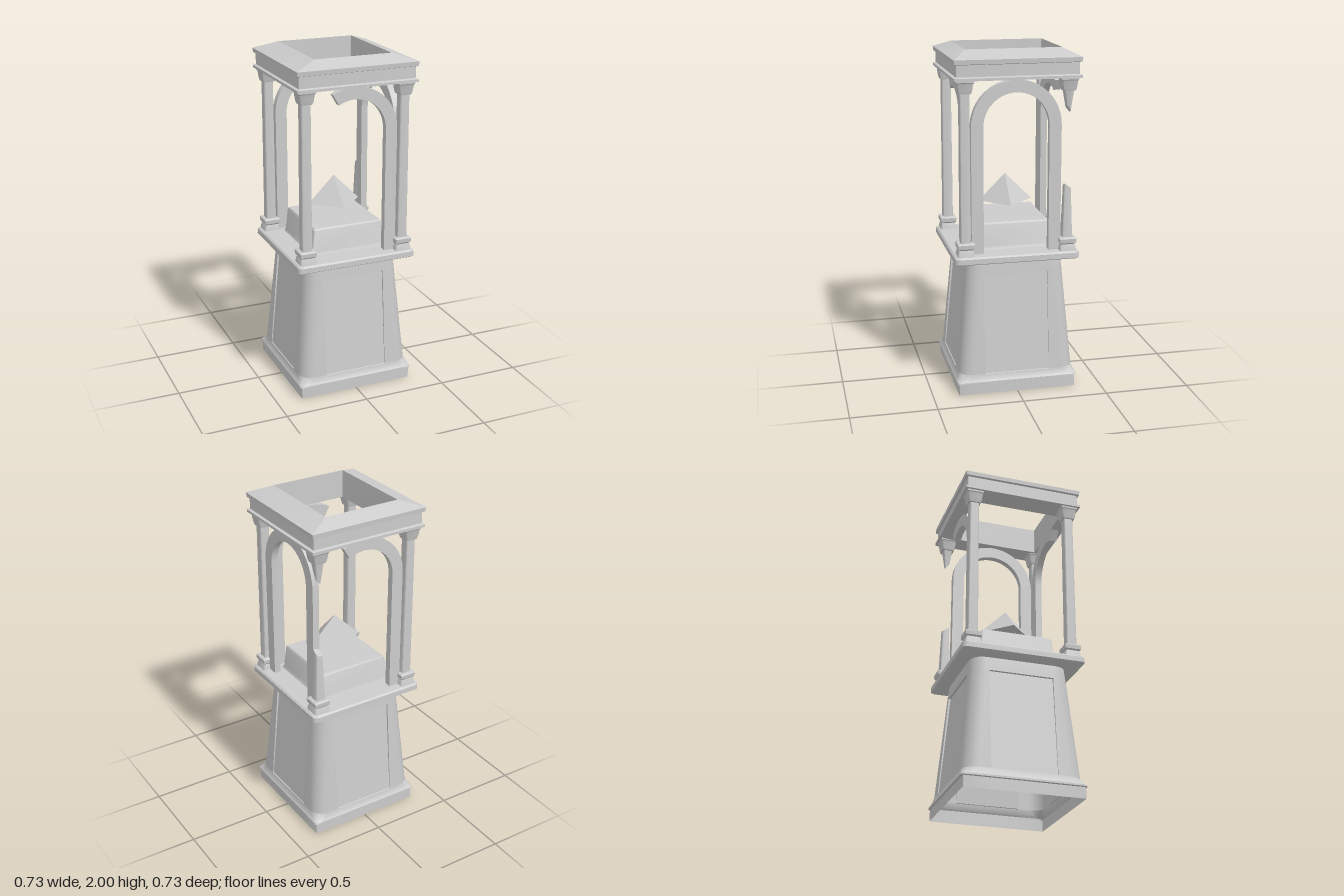
import * as THREE from 'three';
import { toCreasedNormals } from 'three/addons/utils/BufferGeometryUtils.js';

const material = new THREE.MeshStandardMaterial({ color: 0xcccccc, side: THREE.DoubleSide });

// One rounded-rectangle cross-section; an inset sinks the middle of each side by that depth.
function ringPoints({ y, hx, hz = hx, r = 0.004, inset = 0, panel = 0 }) {
  const points = [];
  const steps = 5;
  r = Math.min(r, hx, hz);
  for (let side = 0; side < 4; side++) {
    const turn = (side * Math.PI) / 2;
    const c = Math.round(Math.cos(turn)), s = Math.round(Math.sin(turn));
    if (panel > 0) {
      for (const [across, depth] of [[-panel, 0], [-panel, inset], [panel, inset], [panel, 0]]) {
        const out = hx - depth;
        points.push([out * c - across * s, y, -(out * s + across * c)]);
      }
    }
    const sx = c - s, sz = s + c;
    for (let k = 0; k <= steps; k++) {
      const a = turn + (k / steps) * (Math.PI / 2);
      points.push([sx * (hx - r) + r * Math.cos(a), y, -(sz * (hz - r) + r * Math.sin(a))]);
    }
  }
  return points;
}

// Skin through a list of cross-sections, from bottom to top.
function loft(rings, crease = 0.6) {
  const sections = rings.map(ringPoints);
  const n = sections[0].length;
  const index = [];
  for (let j = 0; j < sections.length - 1; j++) {
    for (let i = 0; i < n; i++) {
      const a = j * n + i, b = j * n + ((i + 1) % n);
      index.push(a, b, b + n, a, b + n, a + n);
    }
  }
  const geometry = new THREE.BufferGeometry();
  geometry.setAttribute('position', new THREE.Float32BufferAttribute(sections.flat(2), 3));
  geometry.setIndex(index);
  return toCreasedNormals(geometry, crease);
}

function addMesh(parent, name, geometry) {
  const mesh = new THREE.Mesh(geometry, material);
  mesh.name = name;
  parent.add(mesh);
  return mesh;
}

// Round arch on legs, standing in the xy plane; "end" is the angle where it breaks off.
function archGeometry(end) {
  const outer = 0.26, inner = 0.19, spring = 1.575, foot = 0.835;
  const shape = new THREE.Shape();
  shape.moveTo(inner, foot);
  shape.lineTo(outer, foot);
  shape.lineTo(outer, spring);
  shape.absarc(0, spring, outer, 0, end, false);
  if (end === Math.PI) {
    shape.lineTo(-outer, foot);
    shape.lineTo(-inner, foot);
  }
  shape.absarc(0, spring, inner, end, 0, true);
  shape.closePath();
  const geometry = new THREE.ExtrudeGeometry(shape, { depth: 0.04, bevelEnabled: false, curveSegments: 12 });
  geometry.translate(0, 0, 0.265);
  return toCreasedNormals(geometry, 0.6);
}

// Shaft piece whose broken end slants across z.
function brokenShaft(bottom, top, hwBottom, hwTop, slantBottom, slantTop) {
  const geometry = loft([
    { y: bottom, hx: 0 },
    { y: bottom, hx: hwBottom, r: 0.008 },
    { y: top, hx: hwTop, r: 0.008 },
    { y: top, hx: 0 },
  ]);
  const p = geometry.attributes.position;
  for (let i = 0; i < p.count; i++) {
    const slant = p.getY(i) > (bottom + top) / 2 ? slantTop : slantBottom;
    p.setY(i, p.getY(i) + slant * (p.getZ(i) + 0.5 * p.getX(i)));
  }
  return toCreasedNormals(geometry, 0.6);
}

function createColumn(broken) {
  const column = new THREE.Group();
  column.name = broken ? 'brokenColumn' : 'column';
  addMesh(column, 'columnBase', loft([
    { y: 0.835, hx: 0.05, r: 0.012 },
    { y: 0.86, hx: 0.047, r: 0.012 },
    { y: 0.88, hx: 0.041, r: 0.01 },
    { y: 0.888, hx: 0.048 },
    { y: 0.912, hx: 0.05 },
    { y: 0.918, hx: 0.044 },
    { y: 0.922, hx: 0 },
  ]));
  addMesh(column, 'capital', loft([
    { y: 1.765, hx: 0 },
    { y: 1.768, hx: 0.036, r: 0.01 },
    { y: 1.785, hx: 0.041, r: 0.01 },
    { y: 1.825, hx: 0.046, r: 0.008 },
    { y: 1.832, hx: 0.051 },
    { y: 1.845, hx: 0.051 },
  ]));
  if (broken) {
    addMesh(column, 'columnStump', brokenShaft(0.91, 1.215, 0.03, 0.02, 0, 0.7));
    addMesh(column, 'hangingShard', brokenShaft(1.665, 1.78, 0.014, 0.029, 1.2, 0));
  } else {
    addMesh(column, 'columnShaft', loft([
      { y: 0.91, hx: 0.03, r: 0.009 },
      { y: 1.78, hx: 0.028, r: 0.009 },
    ]));
  }
  return column;
}

export function createModel() {
  const model = new THREE.Group();
  model.name = 'ruinedShrineTower';

  // Tapered pedestal, open underneath, with a sunken panel on each side
  const panel = 0.19;
  addMesh(model, 'pedestal', loft([
    { y: 0, hx: 0.348, r: 0.006, panel },
    { y: 0.065, hx: 0.348, r: 0.006, panel },
    { y: 0.068, hx: 0.358, r: 0.02, panel },
    { y: 0.078, hx: 0.358, r: 0.03, panel },
    { y: 0.09, hx: 0.349, r: 0.05, panel },
    { y: 0.12, hx: 0.342, r: 0.08, panel },
    { y: 0.122, hx: 0.342, r: 0.08, panel, inset: 0.005 },
    { y: 0.708, hx: 0.292, r: 0.08, panel, inset: 0.012 },
    { y: 0.71, hx: 0.292, r: 0.08, panel },
    { y: 0.795, hx: 0.284, r: 0.08, panel },
  ]));

  // Projecting ledge
  addMesh(model, 'ledge', loft([
    { y: 0.79, hx: 0.28, r: 0.06 },
    { y: 0.797, hx: 0.355, r: 0.02 },
    { y: 0.803, hx: 0.364, r: 0.025 },
    { y: 0.833, hx: 0.364, r: 0.03 },
    { y: 0.842, hx: 0.355, r: 0.035 },
    { y: 0.848, hx: 0.22, r: 0.02 },
  ]));

  // Altar block standing on the ledge
  addMesh(model, 'altarBlock', loft([
    { y: 0.84, hx: 0.238, r: 0.02 },
    { y: 0.862, hx: 0.226, r: 0.015 },
    { y: 0.99, hx: 0.214, r: 0.01 },
    { y: 1.0, hx: 0.207, r: 0.008 },
    { y: 1.0, hx: 0 },
  ]));

  // Floating pyramid
  const pyramid = new THREE.ConeGeometry(0.16, 0.16, 4).toNonIndexed();
  pyramid.computeVertexNormals();
  addMesh(model, 'floatingPyramid', pyramid).position.y = 1.16;

  // Corner columns; the one at the back on the +x side is broken
  for (const sx of [-1, 1]) {
    for (const sz of [-1, 1]) {
      const column = createColumn(sx === 1 && sz === -1);
      column.position.set(sx * 0.297, 0, sz * 0.297);
      model.add(column);
    }
  }

  // Arches: whole on the +x side, half fallen at front and back, gone on the -x side
  addMesh(model, 'frontBrokenArch', archGeometry(2.1));
  addMesh(model, 'backBrokenArch', archGeometry(2.1)).rotation.y = Math.PI;
  addMesh(model, 'sideArch', archGeometry(Math.PI)).rotation.y = Math.PI / 2;

  // Entablature and sloping roof around an open shaft
  const hole = { hx: 0.23, hz: 0.276 };
  addMesh(model, 'roofFrame', loft([
    { y: 1.835, ...hole },
    { y: 1.842, hx: 0.345 },
    { y: 1.842, hx: 0.362 },
    { y: 1.857, hx: 0.362 },
    { y: 1.863, hx: 0.348 },
    { y: 1.928, hx: 0.348 },
    { y: 1.932, hx: 0.36 },
    { y: 1.957, hx: 0.362 },
    { y: 2.0, ...hole },
    { y: 1.835, ...hole },
  ], 0.3));

  return model;
}
